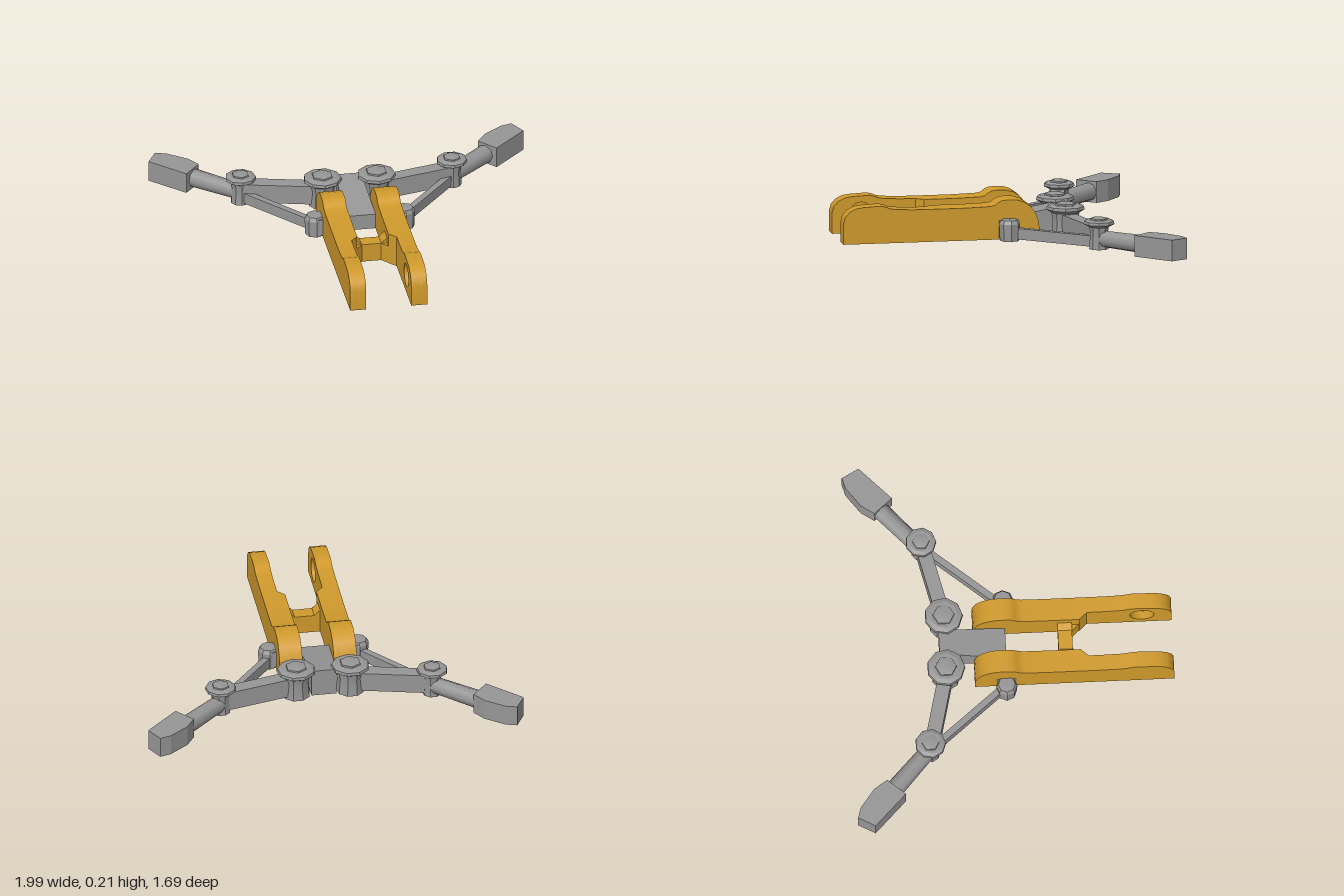
import * as THREE from 'three';
import { toCreasedNormals } from 'three/addons/utils/BufferGeometryUtils.js';

const yellow = new THREE.MeshStandardMaterial({ color: 0xd09a2c });
yellow.name = 'fork yellow';
const grey = new THREE.MeshStandardMaterial({ color: 0x969696 });
grey.name = 'metal grey';

function add(parent, name, geometry, material, x = 0, y = 0, z = 0) {
  const mesh = new THREE.Mesh(geometry, material);
  mesh.name = name;
  mesh.position.set(x, y, z);
  parent.add(mesh);
  return mesh;
}

const shapeOf = (pts) => new THREE.Shape(pts.map(([a, b]) => new THREE.Vector2(a, b)));

// side profile in (z, y), extruded from xa to xb
function slab(parent, name, pts, xa, xb, hole) {
  const shape = shapeOf(pts);
  if (hole) {
    const path = new THREE.Path();
    path.absarc(hole[0], hole[1], hole[2], 0, Math.PI * 2, true);
    shape.holes.push(path);
  }
  const g = new THREE.ExtrudeGeometry(shape, { depth: Math.abs(xb - xa), bevelEnabled: false, curveSegments: 10 });
  g.rotateY(-Math.PI / 2);
  return add(parent, name, toCreasedNormals(g, 0.6), yellow, Math.max(xa, xb));
}

// plan outline in (x, z), extruded from y0 to y1
function plan(parent, name, pts, y0, y1, material) {
  const g = new THREE.ExtrudeGeometry(shapeOf(pts.map(([x, z]) => [x, -z])), { depth: y1 - y0, bevelEnabled: false });
  g.rotateX(-Math.PI / 2);
  return add(parent, name, g, material, 0, y0);
}

// square beam between two plan points
function beam(parent, name, [xa, za], [xb, zb], width, y0, y1) {
  const length = Math.hypot(xb - xa, zb - za);
  const m = add(parent, name, new THREE.BoxGeometry(length, y1 - y0, width), grey,
    (xa + xb) / 2, (y0 + y1) / 2, (za + zb) / 2);
  m.rotation.y = Math.atan2(za - zb, xb - xa);
  return m;
}

// turned part with faceted sides
function turned(parent, name, profile, sides, x, z) {
  const g = new THREE.LatheGeometry(profile.map(([r, y]) => new THREE.Vector2(r, y)), sides);
  return add(parent, name, toCreasedNormals(g, 0.3), grey, x, 0, z);
}

function post(parent, name, x, z, stem, head, top) {
  turned(parent, name, [
    [0, 0], [stem, 0], [stem * 0.9, top * 0.5], [stem, top * 0.72],
    [head, top * 0.82], [head * 0.97, top * 0.91], [head * 0.72, top * 0.96], [0, top * 0.94],
  ], 9, x, z);
  // nut on top of the head
  turned(parent, name + 'Nut', [
    [head * 0.58, top * 0.92], [head * 0.55, top * 1.0], [head * 0.3, top * 1.03], [0, top * 1.03],
  ], 6, x, z);
}

export function createModel() {
  const model = new THREE.Group();
  model.name = 'forkWithFoldingArms';
  const fork = new THREE.Group();
  fork.name = 'fork';
  const frame = new THREE.Group();
  frame.name = 'armFrame';
  model.add(fork, frame);

  const frontProfile = [
    [0.4, 0], [0.845, 0], [0.845, 0.11], [0.835, 0.145], [0.81, 0.172], [0.775, 0.189], [0.74, 0.194],
    [0.645, 0.199], [0.62, 0.193], [0.595, 0.183], [0.56, 0.178], [0.48, 0.174], [0.4, 0.173],
  ];
  const rearProfile = [
    [-0.2, 0], [0.4, 0], [0.4, 0.173], [0.2, 0.173], [0.06, 0.177], [0.035, 0.183], [0.02, 0.196], [0, 0.206],
    [-0.03, 0.21], [-0.08, 0.208], [-0.12, 0.195], [-0.155, 0.17], [-0.18, 0.135], [-0.195, 0.095], [-0.2, 0.06],
  ];
  const rearInner = rearProfile.map(([z, y]) => [Math.min(z, 0.36), y]);

  for (const s of [1, -1]) {
    const side = s > 0 ? 'left' : 'right';
    // fork prong with a blind bore on its inner face
    slab(fork, side + 'ProngOuter', frontProfile, s * 0.165, s * 0.205);
    slab(fork, side + 'ProngInner', frontProfile, s * 0.12, s * 0.165, [0.69, 0.1, 0.064]);
    slab(fork, side + 'Cheek', rearProfile, s * 0.12, s * 0.205);
    slab(fork, side + 'CheekInner', rearInner, s * 0.083, s * 0.12);
    plan(fork, side + 'CheekTaper', [[s * 0.12, 0.36], [s * 0.083, 0.36], [s * 0.12, 0.4]], 0, 0.173, yellow);

    // pivot knob outside the cheek
    turned(frame, side + 'Knob', [[0, 0], [0.052, 0], [0.056, 0.09], [0.045, 0.11], [0, 0.113]], 8, s * 0.238, -0.035);
    beam(frame, side + 'KnobAxle', [s * 0.15, -0.035], [s * 0.24, -0.035], 0.1, 0.01, 0.1);
    beam(frame, side + 'Strut', [s * 0.25, -0.07], [s * 0.55, -0.43], 0.035, 0.01, 0.068);

    // hinge posts and the arms between them
    post(frame, side + 'InnerPost', s * 0.144, -0.35, 0.075, 0.102, 0.172);
    post(frame, side + 'OuterPost', s * 0.562, -0.45, 0.052, 0.082, 0.163);
    beam(frame, side + 'InnerArm', [s * 0.14, -0.345], [s * 0.56, -0.445], 0.075, 0.015, 0.12);

    const arm = add(frame, side + 'OuterArm', new THREE.CylinderGeometry(0.05, 0.044, 0.34, 8), grey,
      s * 0.69, 0.055, -0.57);
    arm.quaternion.setFromUnitVectors(new THREE.Vector3(0, 1, 0), new THREE.Vector3(s * 0.74, 0, -0.67).normalize());
    arm.material = grey;

    // flared block at the arm end
    plan(frame, side + 'Foot', [
      [s * 0.997, -0.757], [s * 0.948, -0.847], [s * 0.89, -0.83], [s * 0.79, -0.755],
      [s * 0.743, -0.685], [s * 0.825, -0.59],
    ], 0, 0.113, grey);
  }

  // cross bar with sloped corner fillets
  plan(fork, 'crossBar', [[-0.09, 0.245], [0.09, 0.245], [0.09, 0.365], [0.05, 0.32], [-0.05, 0.32], [-0.09, 0.365]], 0, 0.1, yellow);
  for (const s of [1, -1]) {
    const g = new THREE.ExtrudeGeometry(shapeOf([[s * 0.05, 0.098], [s * 0.09, 0.098], [s * 0.09, 0.138]]),
      { depth: 0.075, bevelEnabled: false });
    add(fork, s > 0 ? 'leftFillet' : 'rightFillet', g, yellow, 0, 0, 0.245);
  }

  // centre block: wide and low at the front, narrow and tall at the back
  const block = new THREE.BoxGeometry(1, 1, 1);
  const p = block.attributes.position;
  for (let i = 0; i < p.count; i++) {
    const front = p.getZ(i) > 0;
    p.setXYZ(i, Math.sign(p.getX(i)) * (front ? 0.084 : 0.066),
      p.getY(i) < 0 ? 0.002 : front ? 0.085 : 0.15, front ? -0.03 : -0.38);
  }
  block.computeVertexNormals();
  add(frame, 'centreBlock', block, grey);

  return model;
}
